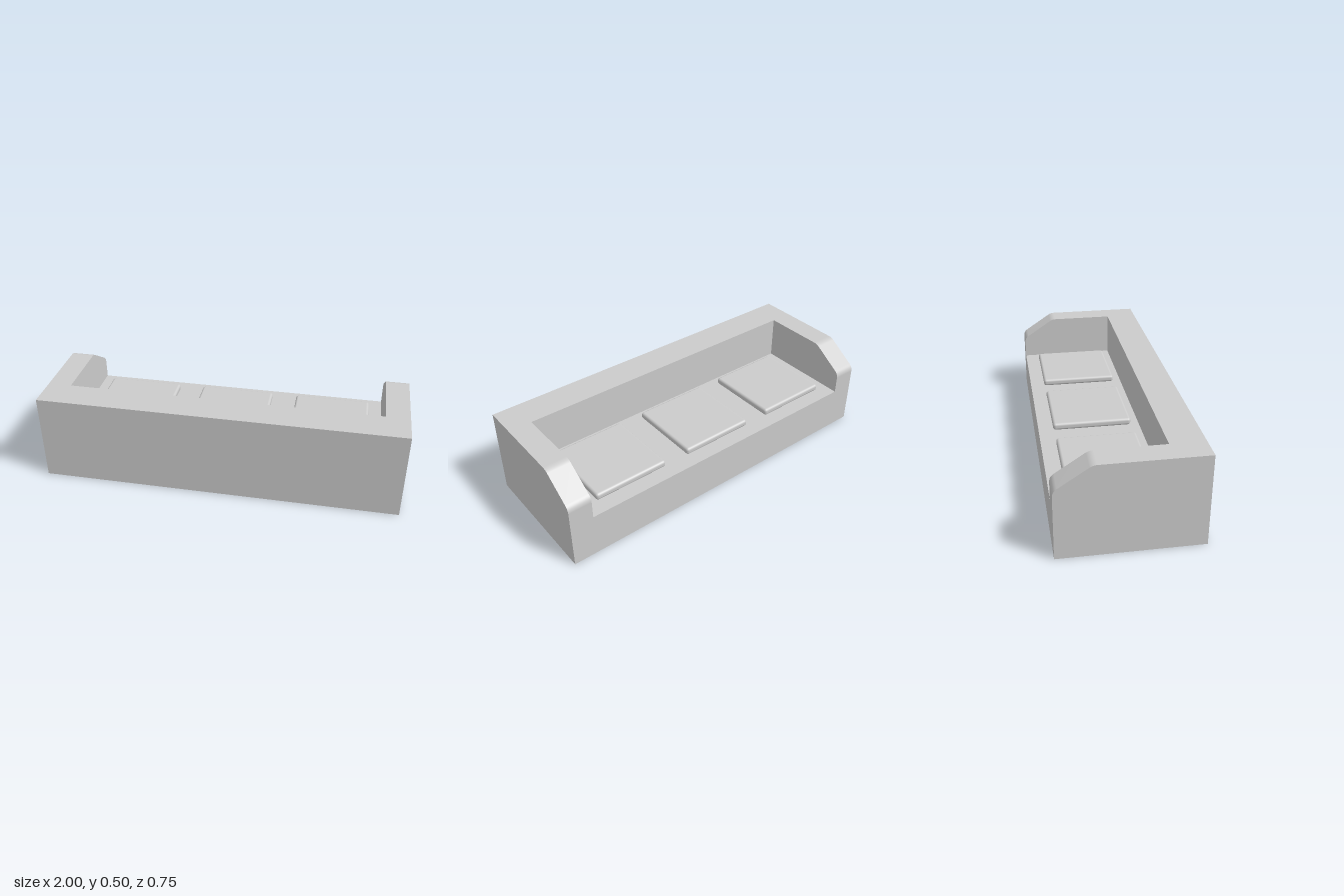
import * as THREE from 'three';
import { RoundedBoxGeometry } from 'three/addons/geometries/RoundedBoxGeometry.js';

const HALF_W = 1, HALF_D = 0.373, HEIGHT = 0.5;
const INNER_X = 0.87, INNER_Z = 0.19, SEAT_Y = 0.25;
const ARM_W = HALF_W - INNER_X;

// The sofa is a thin shell, open underneath
const shell = new THREE.MeshStandardMaterial({ color: 0xcccccc, side: THREE.DoubleSide });
const soft = new THREE.MeshStandardMaterial({ color: 0xcccccc });

function add(parent, name, geometry, material = shell) {
  const mesh = new THREE.Mesh(geometry, material);
  mesh.name = name;
  parent.add(mesh);
  return mesh;
}

// Flat panel facing +z, turned and then moved into place
function panel(parent, name, w, h, [x, y, z], rx = 0, ry = 0) {
  const g = new THREE.PlaneGeometry(w, h).rotateX(rx).rotateY(ry).translate(x, y, z);
  return add(parent, name, g);
}

// Arm outline as (z, y), from the front top corner over the slope and down to lowY
function armOutline(startZ, lowY) {
  const path = new THREE.Path();
  path.moveTo(startZ, HEIGHT);
  path.lineTo(-0.165, HEIGHT);
  path.quadraticCurveTo(-0.185, HEIGHT, -0.202, 0.489);
  path.lineTo(-0.35, 0.391);
  path.quadraticCurveTo(-HALF_D, 0.375, -HALF_D, 0.35);
  path.lineTo(-HALF_D, lowY);
  return path.getPoints(8);
}

// Side face bounded by the outline; dir is the x direction it faces
function armFace(startZ, lowY, dir) {
  const points = [...armOutline(startZ, lowY), new THREE.Vector2(startZ, lowY)];
  const shape = new THREE.Shape(points.map((p) => new THREE.Vector2(-dir * p.x, p.y)));
  return new THREE.ShapeGeometry(shape).rotateY(dir * Math.PI / 2);
}

// Strip that follows the outline across the width of the arm
function armCover() {
  const points = armOutline(HALF_D, 0).reverse();
  const g = new THREE.PlaneGeometry(ARM_W, 1, 1, points.length - 1);
  const pos = g.attributes.position;
  for (let i = 0; i < pos.count; i++) {
    const p = points[Math.floor(i / 2)];
    pos.setXYZ(i, pos.getX(i) + INNER_X + ARM_W / 2, p.y, p.x);
  }
  g.computeVertexNormals();
  return g;
}

export function createModel() {
  const model = new THREE.Group();
  model.name = 'sofa';

  // Arms, mirrored
  for (const side of [1, -1]) {
    const arm = new THREE.Group();
    arm.name = side > 0 ? 'leftArm' : 'rightArm';
    add(arm, 'armOuterSide', armFace(HALF_D, 0, 1)).position.x = HALF_W;
    add(arm, 'armInnerSide', armFace(INNER_Z, SEAT_Y, -1)).position.x = INNER_X;
    add(arm, 'armCover', armCover());
    arm.scale.x = side;
    model.add(arm);
  }

  // Tall wall with its top rim and inner face
  const wallDepth = HALF_D - INNER_Z;
  panel(model, 'tallWall', 2 * HALF_W, HEIGHT, [0, HEIGHT / 2, HALF_D]);
  panel(model, 'tallWallRim', 2 * INNER_X, wallDepth,
    [0, HEIGHT, INNER_Z + wallDepth / 2], -Math.PI / 2);
  panel(model, 'tallWallInner', 2 * INNER_X, HEIGHT - SEAT_Y,
    [0, (HEIGHT + SEAT_Y) / 2, INNER_Z], 0, Math.PI);

  // Seat and the low wall under its open edge
  const seatDepth = HALF_D + INNER_Z;
  panel(model, 'seat', 2 * INNER_X, seatDepth,
    [0, SEAT_Y, INNER_Z - seatDepth / 2], -Math.PI / 2);
  panel(model, 'lowWall', 2 * INNER_X, SEAT_Y, [0, SEAT_Y / 2, -HALF_D], 0, Math.PI);

  // Three cushions in a row
  for (const i of [-1, 0, 1]) {
    const cushion = add(model, 'cushion', new RoundedBoxGeometry(0.434, 0.04, 0.434, 4, 0.015), soft);
    cushion.position.set(i * 0.578, SEAT_Y + 0.021, -0.075);
  }

  return model;
}
